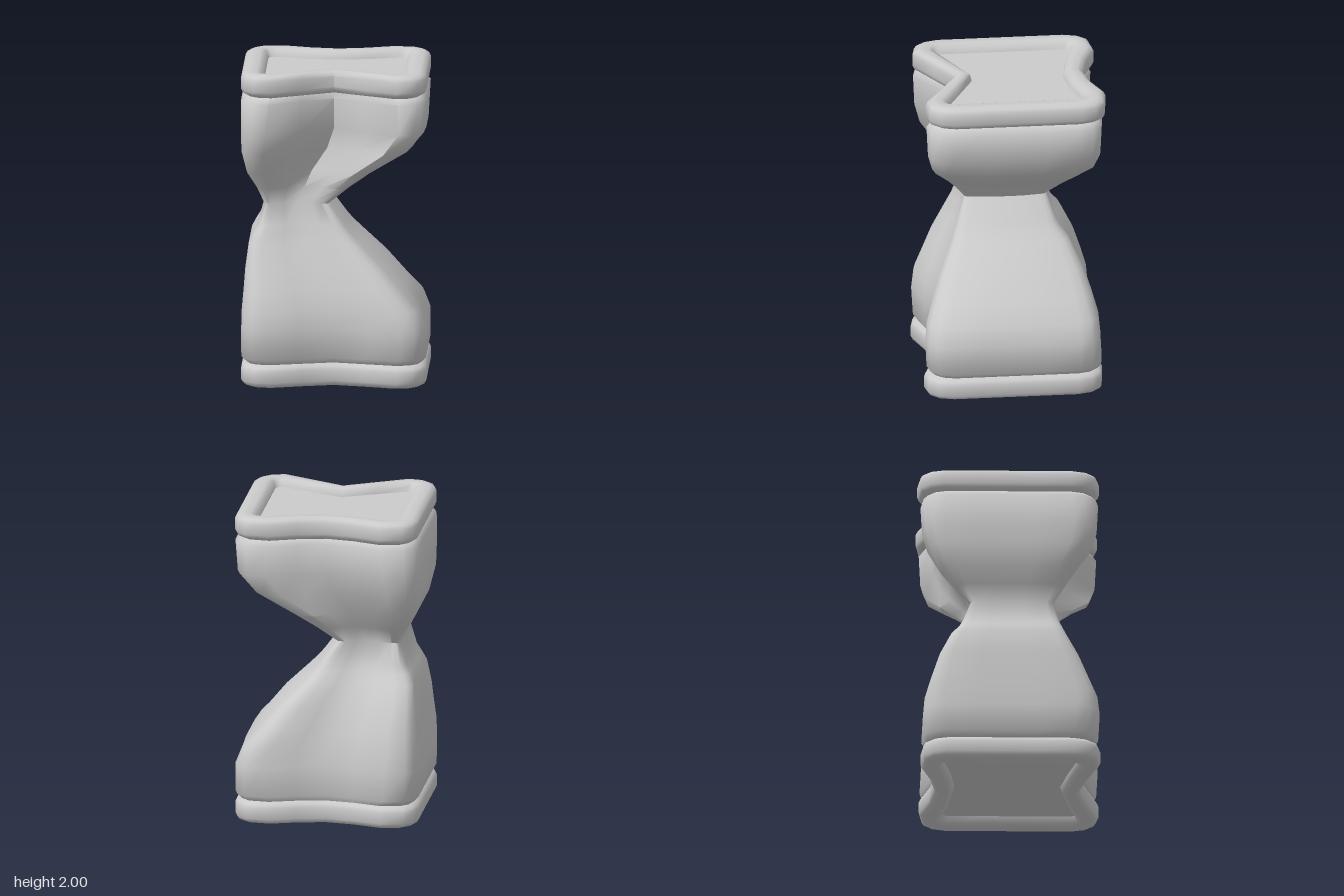
import * as THREE from 'three';
import { toCreasedNormals } from 'three/addons/utils/BufferGeometryUtils.js';

// Corner curve in units of the radius: inset in x, inset in z
const corner = [[0, 1], [0.15, 0.47], [0.5, 0.12]];

// Notched, rounded rectangle at height y: x from x0 to x1, z from -zb to zf,
// corner radius r, front and back notch depths nf and nb. The middle of the
// +x side stands out from its corners by bow.
function outline({ y, x0, x1, zf, zb, r, nf, nb, bend = 0.5, bow = 0 }) {
  const cx = (x0 + x1) / 2, h = (x1 - x0) / 2;
  const pts = [];
  const add = (x, z) => pts.push([cx + x, y, z]);
  // Front (s = 1) or back (s = -1) end, walked from side s to side -s
  const end = (s, z, n, b, reach) => {
    const c = [...corner, [reach, 0]];
    const addCorner = (side, [a, k]) =>
      add(side * (h - a * r) - (side > 0 ? bow : 0), s * (z - k * r));
    const mid = (h - reach * r) / 2;
    add(s * h, s * z * 0.35);
    c.forEach(p => addCorner(s, p));
    add(s * mid, s * (z - n * b));
    add(0, s * (z - n));
    add(-s * mid, s * (z - n * b));
    c.reverse().forEach(p => addCorner(-s, p));
    add(-s * h, s * z * 0.35);
  };
  end(1, zf, nf, bend, 1.1);
  end(-1, zb, nb, 0.66, 1.4);
  return pts;
}

// Skin a stack of outlines and close both ends.
function loft(rings, name) {
  const n = rings[0].length, pos = rings.flat(2), idx = [];
  for (let i = 0; i < rings.length - 1; i++) {
    for (let j = 0; j < n; j++) {
      const a = i * n + j, b = i * n + (j + 1) % n;
      const c = a + n, d = b + n;
      idx.push(a, c, b, b, c, d);
    }
  }
  const close = (i, top) => {
    const mid = pos.length / 3;
    const avg = k => rings[i].reduce((s, p) => s + p[k], 0) / n;
    pos.push(avg(0), avg(1), avg(2));
    for (let j = 0; j < n; j++) {
      const a = i * n + j, b = i * n + (j + 1) % n;
      if (top) idx.push(mid, b, a);
      else idx.push(mid, a, b);
    }
  };
  close(0, false);
  close(rings.length - 1, true);
  const geo = new THREE.BufferGeometry();
  geo.setAttribute('position', new THREE.Float32BufferAttribute(pos, 3));
  geo.setIndex(idx);
  const mesh = new THREE.Mesh(
    toCreasedNormals(geo, 1.05),
    new THREE.MeshStandardMaterial({ color: 0xcccccc })
  );
  mesh.name = name;
  return mesh;
}

// Plate with rounded edges and a recessed outer panel.
// Profile: height from the inner side, inset, corner radius.
const plateProfile = [
  [0, 0.04, 0.14], [0.018, 0.01, 0.16], [0.04, 0, 0.165], [0.11, 0, 0.165],
  [0.132, 0.012, 0.16], [0.145, 0.04, 0.14], [0.145, 0.1, 0.08],
  [0.132, 0.131, 0.04], [0.09, 0.145, 0.04],
];

function plate(name, top, { zf, zb, nf, nb, bend }) {
  const rings = plateProfile.map(([t, d, r]) => outline({
    y: top ? 1.855 + t : 0.145 - t,
    x0: -0.585 + d, x1: 0.585 - d, zf: zf - d, zb: zb - d, r,
    nf: nf * (1 - 1.2 * d), nb: nb * (1 - 1.2 * d), bend,
  }));
  return loft(top ? rings : rings.reverse(), name);
}

// Pinched body: y, x0, x1, zf, zb, corner radius, front notch, back notch, bow
const bodySections = [
  [0.145, -0.55, 0.55, 0.53, 0.53, 0.14, 0.11, 0.085, 0],
  [0.18, -0.583, 0.583, 0.56, 0.555, 0.15, 0.11, 0.09, 0],
  [0.36, -0.583, 0.583, 0.57, 0.545, 0.14, 0.11, 0.09, 0],
  [0.48, -0.58, 0.545, 0.555, 0.535, 0.13, 0.1, 0.09, 0.01],
  [0.6, -0.57, 0.45, 0.505, 0.5, 0.12, 0.09, 0.085, 0.025],
  [0.74, -0.56, 0.335, 0.445, 0.452, 0.1, 0.075, 0.08, 0.03],
  [0.89, -0.54, 0.18, 0.365, 0.375, 0.08, 0.06, 0.07, 0.025],
  [0.95, -0.51, 0.12, 0.34, 0.325, 0.07, 0.055, 0.06, 0.02],
  [1.0, -0.48, 0.08, 0.32, 0.3, 0.06, 0.05, 0.05, 0.02],
  [1.135, -0.445, -0.02, 0.275, 0.25, 0.04, 0.05, 0.04, 0.015],
  [1.24, -0.49, 0.115, 0.34, 0.34, 0.07, 0.11, 0.07, 0.025],
  [1.34, -0.55, 0.26, 0.41, 0.43, 0.1, 0.18, 0.1, 0.035],
  [1.49, -0.583, 0.49, 0.515, 0.515, 0.13, 0.27, 0.12, 0.03],
  [1.62, -0.585, 0.578, 0.55, 0.55, 0.145, 0.28, 0.11, 0.01],
  [1.82, -0.585, 0.584, 0.56, 0.56, 0.16, 0.24, 0.1, 0],
  [1.855, -0.55, 0.55, 0.53, 0.53, 0.14, 0.22, 0.095, 0],
];

export function createModel() {
  const group = new THREE.Group();
  group.name = 'hourglass';
  group.add(plate('topPlate', true, { zf: 0.565, zb: 0.58, nf: 0.23, nb: 0.105, bend: 0.5 }));
  group.add(plate('bottomPlate', false, { zf: 0.575, zb: 0.56, nf: 0.125, nb: 0.09, bend: 0.55 }));
  const rings = bodySections.map(([y, x0, x1, zf, zb, r, nf, nb, bow]) =>
    outline({ y, x0, x1, zf, zb, r, nf, nb, bow }));
  group.add(loft(rings, 'pinchedBody'));
  return group;
}
